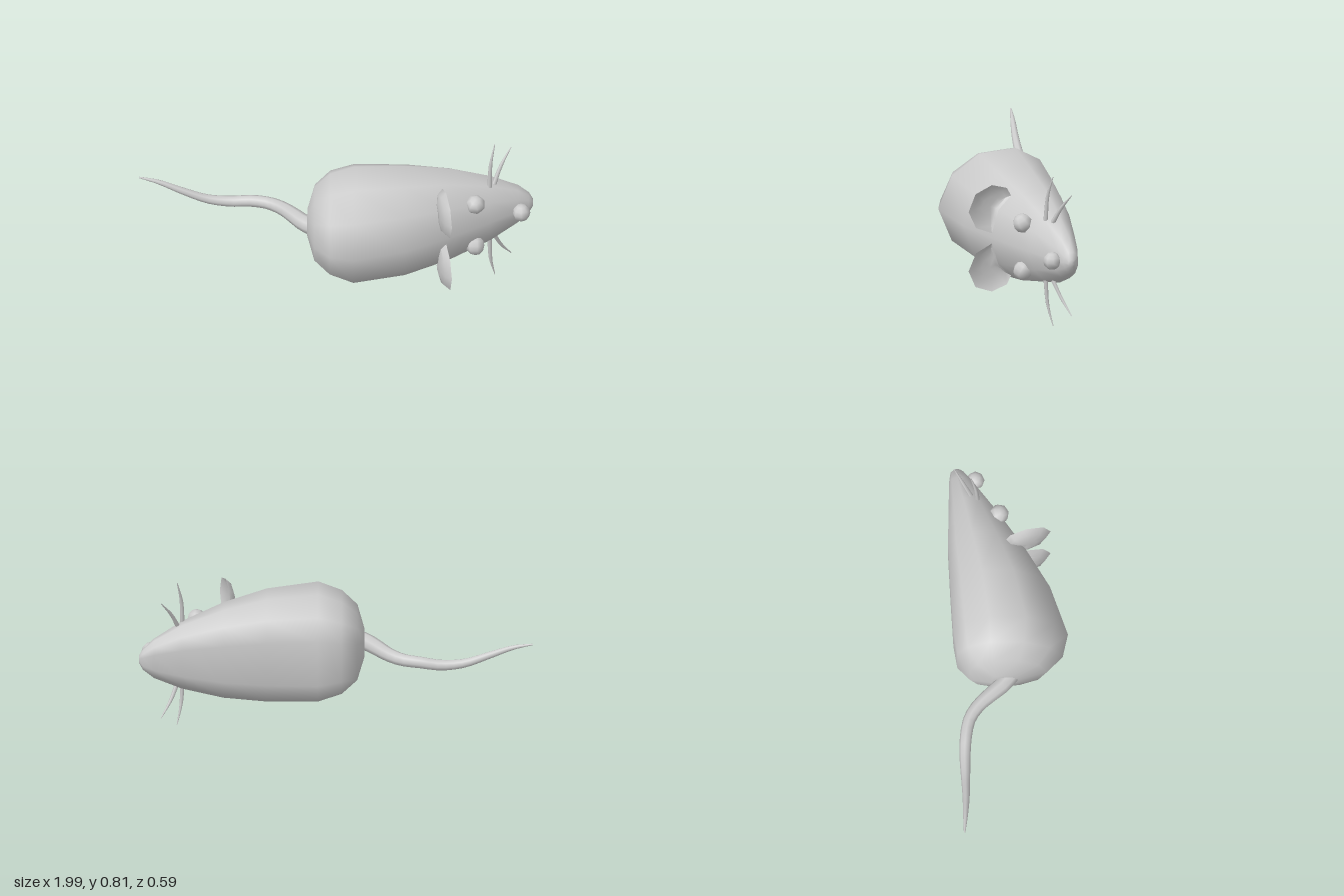
import * as THREE from 'three';
import { toCreasedNormals } from 'three/addons/utils/BufferGeometryUtils.js';

const MID = 0.408; // height of the mirror plane between left and right halves
const V = (x, y, z) => new THREE.Vector3(x, y, z);
const material = new THREE.MeshStandardMaterial({ color: 0xcccccc });

function add(group, name, geometry) {
  const mesh = new THREE.Mesh(geometry, material);
  mesh.name = name;
  group.add(mesh);
  return mesh;
}

// Skin a list of equal-length loops, closing both ends at their centres
function loft(rings) {
  const n = rings[0].length, points = rings.flat(), index = [];
  const centre = (ring) => ring.reduce((sum, p) => sum.add(p), V(0, 0, 0)).divideScalar(n);
  const last = (rings.length - 1) * n, start = points.length, end = start + 1;
  points.push(centre(rings[0]), centre(rings[rings.length - 1]));
  for (let j = 0; j < n; j++) {
    const k = (j + 1) % n;
    for (let i = 0; i < last; i += n) {
      index.push(i + j, i + n + j, i + k, i + k, i + n + j, i + n + k);
    }
    index.push(start, j, k, end, last + k, last + j);
  }
  const geometry = new THREE.BufferGeometry().setFromPoints(points);
  geometry.setIndex(index);
  geometry.computeVertexNormals();
  return geometry;
}

// Tube along a curve whose radius follows a list of evenly spaced values
function taperedTube(points, radii, segments, sides) {
  const curve = new THREE.CatmullRomCurve3(points);
  const geometry = new THREE.TubeGeometry(curve, segments, 1, sides);
  const pos = geometry.attributes.position, p = V(0, 0, 0);
  for (let i = 0; i <= segments; i++) {
    const c = curve.getPointAt(i / segments);
    const f = (i / segments) * (radii.length - 1), a = Math.min(Math.floor(f), radii.length - 2);
    const r = THREE.MathUtils.lerp(radii[a], radii[a + 1], f - a);
    for (let j = 0; j <= sides; j++) {
      const k = i * (sides + 1) + j;
      p.fromBufferAttribute(pos, k).sub(c).multiplyScalar(r).add(c);
      pos.setXYZ(k, p.x, p.y, p.z);
    }
  }
  return geometry;
}

export function createModel() {
  const model = new THREE.Group();
  model.name = 'mouse';

  // Body: flat-bellied cross-section as [half width, height], both as fractions
  const half = [[0.575, 0.88], [0.935, 0.635], [1, 0.315], [0.77, 0.1], [0.41, 0]];
  const section = [[0, 1], ...half, ...half.map(([w, h]) => [-w, h]).reverse()];
  // Stations from rump to snout: x, half width, belly z, back z
  const stations = [
    [-0.145, 0.07, -0.1, 0.03], [-0.108, 0.19, -0.21, 0.18], [-0.03, 0.26, -0.272, 0.262],
    [0.09, 0.304, -0.287, 0.293], [0.35, 0.29, -0.293, 0.212], [0.57, 0.248, -0.296, 0.09],
    [0.78, 0.178, -0.285, -0.048], [0.92, 0.105, -0.277, -0.15], [0.975, 0.055, -0.268, -0.192],
    [0.995, 0.02, -0.248, -0.215],
  ];
  add(model, 'body', loft(stations.map(([x, w, low, high]) =>
    section.map(([a, h]) => V(x, MID + a * w, low + h * (high - low))))));

  // Tail
  add(model, 'tail', taperedTube([
    V(-0.11, 0.41, 0.0), V(-0.16, 0.408, -0.04), V(-0.21, 0.408, -0.1), V(-0.27, 0.405, -0.17),
    V(-0.34, 0.402, -0.22), V(-0.43, 0.4, -0.243), V(-0.53, 0.39, -0.252), V(-0.65, 0.402, -0.254),
    V(-0.78, 0.45, -0.256), V(-0.9, 0.498, -0.264), V(-0.998, 0.52, -0.272),
  ], [0.046, 0.042, 0.036, 0.032, 0.03, 0.027, 0.022, 0.018, 0.013, 0.004], 24, 8));

  // Nose
  const nose = add(model, 'nose', new THREE.SphereGeometry(0.046, 8, 6));
  nose.position.set(0.937, MID, -0.143);

  // Ear outline as [z, distance from the mirror plane]
  const outline = [[0.225, 0.16], [0.188, 0.25], [0.1, 0.287], [0.02, 0.26], [-0.003, 0.215],
    [0.065, 0.148], [0.08, 0.095], [0.1, 0.028], [0.185, 0.068]];
  // Ear layers from the domed back over the rim into the cup: scale, x offset
  const layers = [[0.4, -0.036], [0.78, -0.024], [1, 0.004], [0.76, -0.012], [0.4, -0.02]];

  for (const s of [1, -1]) {
    const side = new THREE.Group();
    side.name = s > 0 ? 'upperSide' : 'lowerSide';
    model.add(side);

    const loop = s > 0 ? outline : [...outline].reverse();
    const ear = loft(layers.map(([k, dx]) => loop.map(([z, y]) => {
      const ez = 0.105 + (z - 0.105) * k;
      return V(0.532 + 0.24 * ez + dx, MID + s * (0.165 + (y - 0.165) * k), ez);
    })));
    add(side, 'ear', toCreasedNormals(ear, 1));

    const eye = add(side, 'eye', new THREE.SphereGeometry(0.05, 7, 6));
    eye.position.set(0.706, MID + s * 0.127, -0.032);
    eye.rotation.x = s * 0.5;

    // Two curved whiskers
    const whiskers = [
      [[0.777, 0.16, -0.138], [0.782, 0.29, -0.147], [0.803, 0.403, -0.172]],
      [[0.798, 0.153, -0.17], [0.832, 0.24, -0.207], [0.884, 0.327, -0.254]],
    ];
    for (const path of whiskers) {
      add(side, 'whisker', taperedTube(path.map(([x, y, z]) => V(x, MID + s * y, z)),
        [0.012, 0.009, 0.002], 8, 6));
    }
  }
  return model;
}
